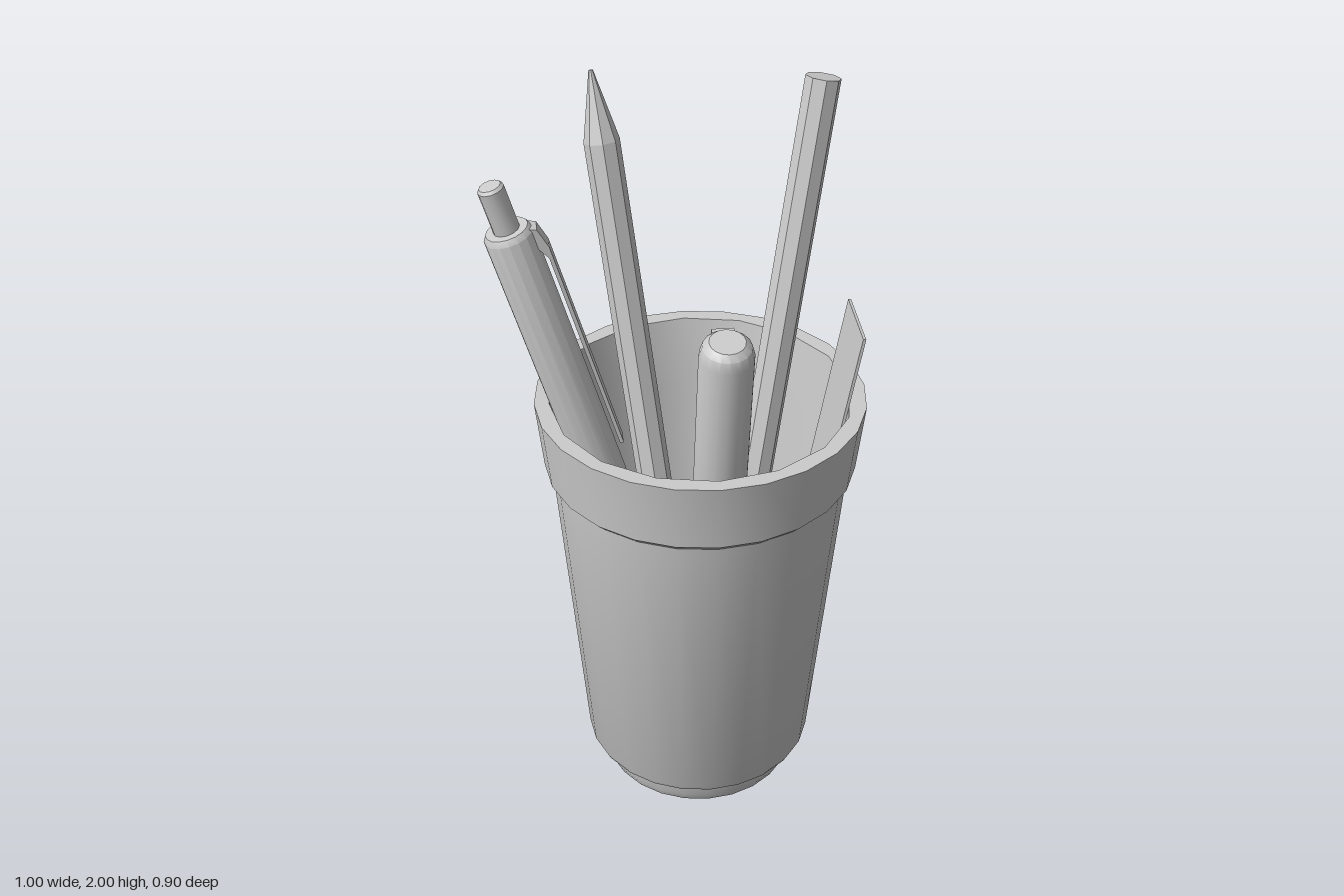
import * as THREE from 'three';
import { toCreasedNormals } from 'three/addons/utils/BufferGeometryUtils.js';

const smooth = new THREE.MeshStandardMaterial({ color: 0xcccccc, side: THREE.DoubleSide });
const flat = new THREE.MeshStandardMaterial({ color: 0xcccccc, flatShading: true });

function mesh(name, geometry, material = smooth) {
  const m = new THREE.Mesh(geometry, material);
  m.name = name;
  return m;
}

// Turned part from [radius, height] pairs, with sharp edges kept
function turned(name, profile, sides) {
  const pts = profile.map(([r, y]) => new THREE.Vector2(r, y));
  return mesh(name, toCreasedNormals(new THREE.LatheGeometry(pts, sides), 0.6));
}

// Group whose y axis runs from the bottom point to the top point;
// its x axis leans towards `side`. Returns the group and its length.
function leaning(name, bottom, top, side = [1, 0, 0]) {
  const a = new THREE.Vector3(...bottom);
  const y = new THREE.Vector3(...top).sub(a);
  const length = y.length();
  y.normalize();
  const z = new THREE.Vector3(...side).cross(y).normalize();
  const x = new THREE.Vector3().crossVectors(y, z);
  const group = new THREE.Group();
  group.name = name;
  group.quaternion.setFromRotationMatrix(new THREE.Matrix4().makeBasis(x, y, z));
  group.position.copy(a);
  return { group, length };
}

// Side outline in x/y extruded to a strip centred on z = 0
function strip(name, outline, width) {
  const shape = new THREE.Shape(outline.map(([x, y]) => new THREE.Vector2(x, y)));
  const g = new THREE.ExtrudeGeometry(shape, { depth: width, bevelEnabled: false });
  g.translate(0, 0, -width / 2);
  return mesh(name, g, flat);
}

function createCup() {
  const cup = new THREE.Group();
  cup.name = 'cup';
  cup.position.set(0.055, 0, -0.01);
  cup.add(turned('cupOutside', [
    [0, 0], [0.24, 0], [0.272, 0.012], [0.286, 0.04], [0.29, 0.095],
    [0.318, 0.095], [0.326, 0.11], [0.404, 1.035], [0.424, 1.055], [0.445, 1.25],
  ], 24));
  cup.add(turned('cupInside', [
    [0.405, 1.25], [0.382, 1.05], [0.3, 0.1], [0, 0.1],
  ], 16));
  // Flat lip between the outer and inner walls
  const ring = (r, n) => Array.from({ length: n }, (_, i) => {
    const t = (i / n) * Math.PI * 2;
    return new THREE.Vector2(r * Math.sin(t), r * Math.cos(t));
  });
  const lip = new THREE.Shape(ring(0.445, 24));
  lip.holes.push(new THREE.Path(ring(0.405, 16)));
  const g = new THREE.ShapeGeometry(lip);
  g.rotateX(-Math.PI / 2).translate(0, 1.25, 0);
  cup.add(mesh('cupLip', g));
  return cup;
}

// Eight-sided pencil, with a sharpened end on top when point > 0
function createPencil(name, bottom, top, point) {
  const { group, length } = leaning(name, bottom, top);
  const r = 0.049, body = length - point;
  const shaft = new THREE.CylinderGeometry(r, r, body, 8);
  shaft.translate(0, body / 2, 0);
  group.add(mesh('pencilShaft', shaft, flat));
  if (point > 0) {
    const cone = new THREE.CylinderGeometry(0.006, r, point, 8);
    cone.translate(0, body + point / 2, 0);
    group.add(mesh('pencilPoint', cone, flat));
  }
  return group;
}

function createPen() {
  const { group, length: L } = leaning('pen', [0.035, 0.18, 0.0], [-0.469, 1.925, 0.06]);
  const b = L - 0.125;
  group.add(turned('penBody', [
    [0, 0], [0.014, 0.004], [0.022, 0.03], [0.042, 0.2], [0.056, 0.42], [0.064, 0.7],
    [0.064, b - 0.015], [0.055, b], [0, b],
  ], 16));
  group.add(turned('penButton', [
    [0.034, b - 0.01], [0.034, L - 0.008], [0.028, L], [0, L],
  ], 12));
  // Raised clip fixed near the top of the body
  group.add(strip('penClip', [
    [0.05, b - 0.005], [0.05, b - 0.05], [0.076, b - 0.1], [0.076, b - 0.7],
    [0.086, b - 0.7], [0.086, b - 0.07], [0.072, b - 0.015],
  ], 0.046));
  return group;
}

function createMarker() {
  const { group, length: L } = leaning('marker', [0.07, 0.2, 0.1], [0.07, 1.65, 0.39], [0, 0, -1]);
  const cap = L - 0.62;
  group.add(turned('markerBody', [
    [0, 0], [0.025, 0.004], [0.037, 0.03], [0.042, 0.12], [0.052, 0.4], [0.057, cap], [0.057, cap + 0.04],
  ], 16));
  group.add(turned('markerCap', [
    [0.057, cap], [0.07, cap], [0.069, L - 0.045], [0.061, L - 0.015], [0.045, L], [0, L],
  ], 16));
  // Clip standing off the back of the cap, narrowing downwards
  const clip = strip('markerClip', [
    [0.06, L - 0.03], [0.06, L - 0.075], [0.08, L - 0.08], [0.08, L - 0.42],
    [0.088, L - 0.42], [0.088, L - 0.035],
  ], 0.056);
  const p = clip.geometry.attributes.position;
  for (let i = 0; i < p.count; i++) {
    if (p.getY(i) < L - 0.3) p.setZ(i, p.getZ(i) * 0.45);
  }
  clip.geometry.computeVertexNormals();
  group.add(clip);
  return group;
}

function createRuler() {
  const { group, length } = leaning('ruler', [0.242, 0.1, -0.006], [0.468, 1.458, -0.006]);
  const g = new THREE.BoxGeometry(0.008, length, 0.212);
  g.translate(0, length / 2, 0);
  group.add(mesh('rulerBlade', g, flat));
  return group;
}

export function createModel() {
  const model = new THREE.Group();
  model.name = 'pencilCup';
  model.add(
    createCup(),
    createPencil('sharpPencil', [0.0, 0.4, -0.142], [-0.188, 2.0, -0.44], 0.19),
    createPencil('bluntPencil', [0.15, 0.3, -0.105], [0.42, 1.98, -0.378], 0),
    createPen(),
    createMarker(),
    createRuler(),
  );
  return model;
}
